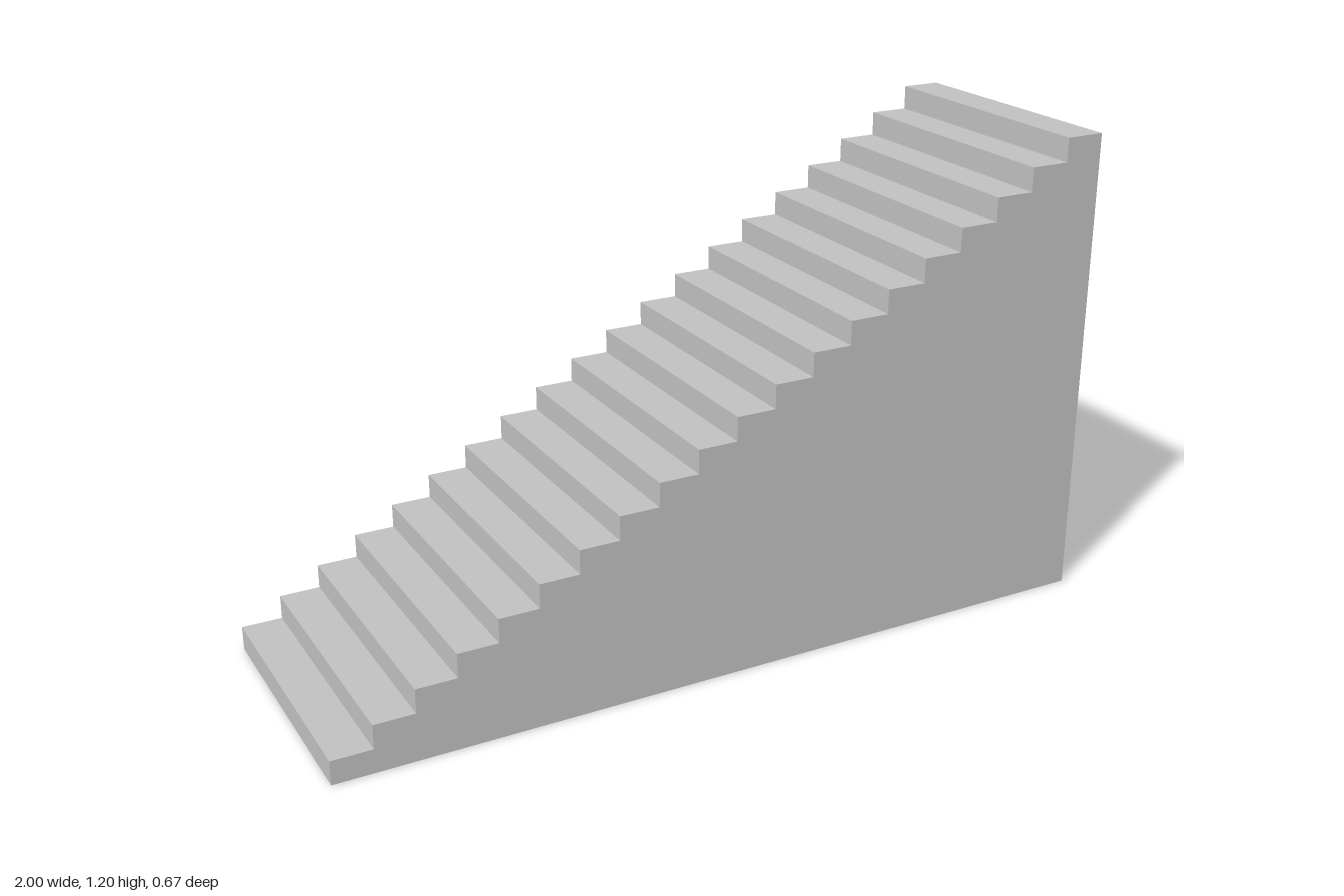
import * as THREE from 'three';

const STEPS = 20;
const TREAD = 0.1;
const RISER = 0.06;
const WIDTH = 0.667;

export function createModel() {
  const group = new THREE.Group();
  group.name = 'staircase';

  const concrete = new THREE.MeshStandardMaterial({ color: 0xc0c0c0 });
  concrete.name = 'light grey concrete';

  // Stepped side profile, climbing towards +x
  const profile = new THREE.Shape();
  profile.moveTo(-1, 0);
  profile.lineTo(1, 0);
  for (let i = STEPS; i > 0; i--) {
    profile.lineTo(-1 + i * TREAD, i * RISER);
    profile.lineTo(-1 + (i - 1) * TREAD, i * RISER);
  }
  profile.closePath();

  // Solid flight of stairs
  const geometry = new THREE.ExtrudeGeometry(profile, { depth: WIDTH, bevelEnabled: false });
  geometry.translate(0, 0, -WIDTH / 2);
  const stairs = new THREE.Mesh(geometry, concrete);
  stairs.name = 'solidStairFlight';
  group.add(stairs);

  return group;
}
